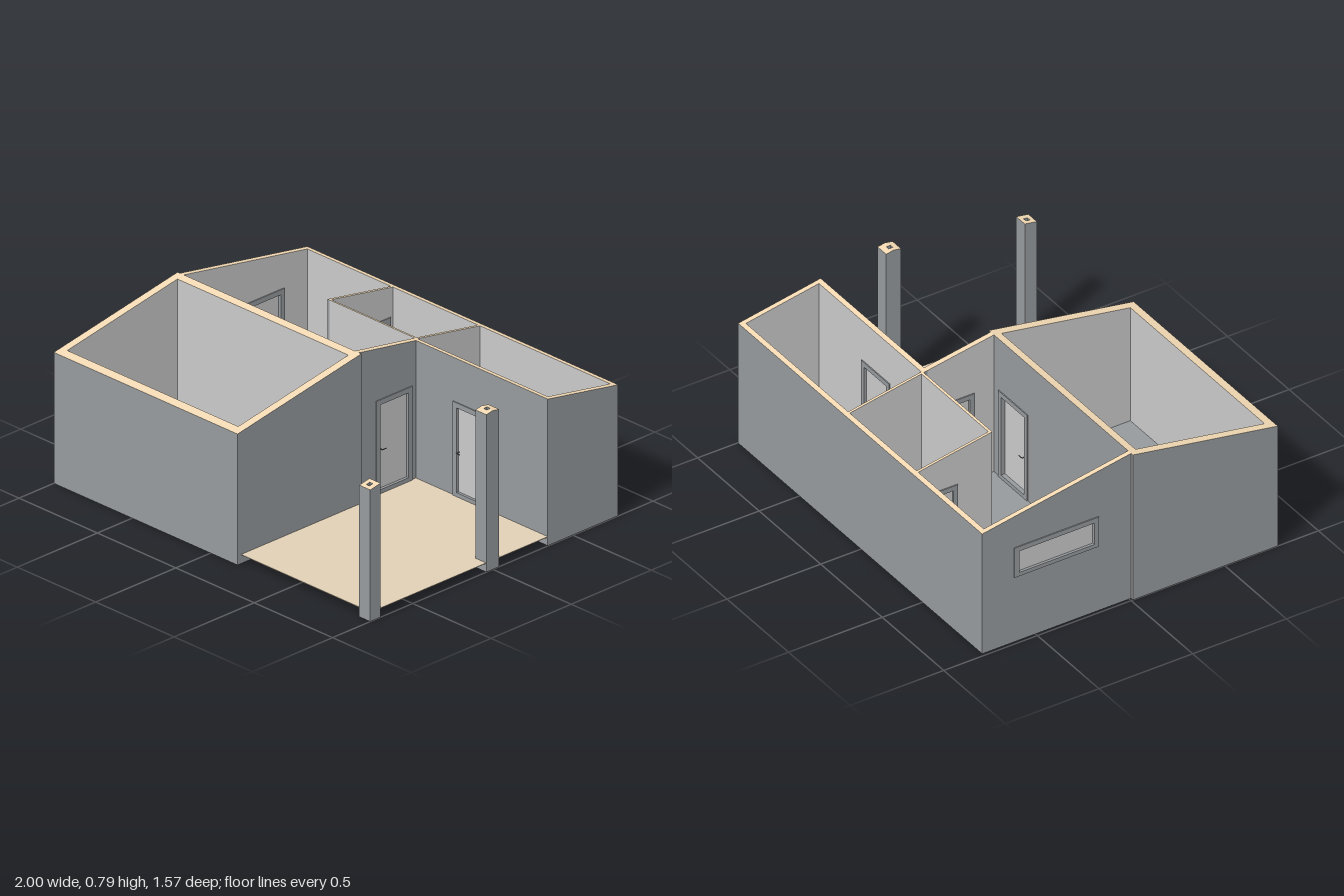
import * as THREE from 'three';

const mat = (color) => new THREE.MeshStandardMaterial({ color });
const inside = mat(0xcccccc);
const outside = mat(0x989c9f);
const tan = mat(0xf4dab4);
const floorGrey = mat(0x969b9e);
const porchTan = mat(0xe2d1b8);
const dark = mat(0x77797b);

const FLOOR = 0.045;
const DOOR = [FLOOR, 0.51];
const roof = (z) => 0.787 - 0.176 * Math.abs(z);
const polygon = (pts, Type = THREE.Shape) => new Type(pts.map(([a, b]) => new THREE.Vector2(a, b)));
const rect = (a0, a1, b0, b1, Type) => polygon([[a0, b0], [a1, b0], [a1, b1], [a0, b1]], Type);

// Upright slab: drawn along a (x or z) and y, with thickness t0..t1 on the other axis
function slab(axis, shape, t0, t1) {
  const g = new THREE.ExtrudeGeometry(shape, { depth: t1 - t0, bevelEnabled: false });
  if (axis === 'z') g.rotateY(-Math.PI / 2).translate(t1, 0, 0);
  else g.translate(0, 0, t0);
  return g;
}

// Raise the top vertices to the roof slope
function fitRoof(g) {
  const p = g.attributes.position;
  for (let i = 0; i < p.count; i++) if (p.getY(i) > 0.59) p.setY(i, roof(p.getZ(i)));
  g.computeVertexNormals();
  return g;
}

export function createModel() {
  const model = new THREE.Group();
  const add = (name, geometry, material, parent = model) => {
    const m = new THREE.Mesh(geometry, material);
    m.name = name;
    parent.add(m);
  };

  // Wall with optional opening; lo and hi are the materials of the faces at t0 and t1
  function wall(name, axis, a0, a1, t0, t1, lo, hi, { bottom = 0, hole } = {}) {
    const s = rect(a0, a1, bottom, 0.6);
    if (hole) s.holes.push(rect(hole[0] + 0.01, hole[1] - 0.01, hole[2] + 0.01, hole[3] - 0.01, THREE.Path));
    const g = fitRoof(slab(axis, s, t0, t1));
    const n = g.attributes.normal;
    g.clearGroups();
    for (let i = 0; i < n.count; i += 3) {
      const across = axis === 'x' ? n.getZ(i) : n.getX(i);
      const side = across < -0.5 ? 0 : across > 0.5 ? 1 : Math.abs(n.getY(i)) > 0.5 ? 2 : 3;
      g.addGroup(i, 3, side);
    }
    add(name, g, [lo, hi, tan, outside]);
  }

  // Frame and recessed panel filling an opening; handleAt adds a lever on both sides
  function fitting(name, axis, hole, t0, t1, handleAt, dir) {
    const group = new THREE.Group();
    group.name = name;
    const [a0, a1, y0, y1] = hole;
    const b = 0.025;
    const inner = [a0 + b, a1 - b, y0 + 0.02, y1 - b];
    const s = rect(a0, a1, y0, y1);
    s.holes.push(rect(...inner, THREE.Path));
    add('frame', slab(axis, s, t0 - 0.005, t1 + 0.005), outside, group);
    const mid = (t0 + t1) / 2;
    add('panel', slab(axis, rect(...inner), mid - 0.004, mid + 0.004), inside, group);
    if (handleAt !== undefined) {
      const h = handleAt;
      const bar = [h, h + dir * 0.025].sort((p, q) => p - q);
      add('spindle', slab(axis, rect(h - 0.002, h + 0.002, 0.261, 0.265), t0 - 0.011, t1 + 0.011), dark, group);
      for (const t of [t0 - 0.013, t1 + 0.01])
        add('lever', slab(axis, rect(...bar, 0.261, 0.265), t, t + 0.003), dark, group);
    }
    model.add(group);
  }

  // Openings: along-wall range, then height range
  const frontRoomDoor = [-0.145, 0.09, ...DOOR];
  const porchDoor = [0.395, 0.625, ...DOOR];
  const hallDoor = [-0.32, -0.095, ...DOOR];
  const roomDoor = [-0.745, -0.55, ...DOOR];
  const sideWindow = [-0.615, -0.165, 0.35, 0.51];

  // Front room
  wall('frontRoomFrontWall', 'x', -1, 0.172, 0.738, 0.783, inside, outside);
  wall('frontRoomBackWall', 'x', -1, 0.172, 0.01, 0.05, outside, inside, { hole: frontRoomDoor });
  wall('frontRoomRightWall', 'z', 0.05, 0.738, -1, -0.96, outside, inside);
  wall('frontRoomLeftWall', 'z', 0.05, 0.738, 0.13, 0.172, inside, outside);

  // Rear wing
  wall('backWall', 'x', -0.985, 0.998, -0.785, -0.76, outside, inside);
  wall('rearRightWall', 'z', -0.76, 0.01, -0.985, -0.96, outside, inside, { hole: sideWindow });
  wall('rearLeftWall', 'z', -0.76, -0.345, 0.973, 0.998, inside, outside);
  wall('porchWall', 'x', 0.13, 0.973, -0.37, -0.345, inside, outside, { hole: porchDoor });
  wall('hallWall', 'z', -0.345, 0.01, 0.13, 0.157, inside, outside, { hole: hallDoor });

  // Thin partitions
  const bottom = FLOOR;
  wall('partition', 'z', -0.76, -0.37, 0.129, 0.142, inside, inside, { bottom });
  wall('partition', 'z', -0.76, -0.365, -0.427, -0.414, inside, inside, { bottom, hole: roomDoor });
  wall('partition', 'x', -0.414, 0.13, -0.377, -0.365, inside, inside, { bottom });

  // Doors and window
  fitting('frontRoomDoor', 'x', frontRoomDoor, 0.01, 0.05, -0.115, 1);
  fitting('porchDoor', 'x', porchDoor, -0.37, -0.345, 0.425, 1);
  fitting('hallDoor', 'z', hallDoor, 0.13, 0.157, -0.125, -1);
  fitting('roomDoor', 'z', roomDoor, -0.427, -0.414, -0.575, -1);
  fitting('sideWindow', 'z', sideWindow, -0.985, -0.96);

  // Floor slabs; the hall slab leaves a groove underneath along the front room
  const floor = (name, x0, x1, z0, z1, y0 = 0.002) =>
    add(name, new THREE.BoxGeometry(x1 - x0, FLOOR - y0, z1 - z0)
      .translate((x0 + x1) / 2, (FLOOR + y0) / 2, (z0 + z1) / 2), floorGrey);
  floor('frontRoomFloor', -0.96, 0.13, 0.05, 0.738);
  floor('hallFloor', -0.96, 0.13, -0.76, -0.04);
  floor('hallFloorEdge', -0.96, 0.13, -0.04, 0.01, FLOOR - 0.004);
  floor('backRoomFloor', 0.13, 0.973, -0.76, -0.37);

  // Thin porch floor, notched around the columns (drawn in x and -z)
  const porch = polygon([
    [0.157, 0.345], [0.157, -0.01], [0.172, -0.01], [0.172, -0.76], [0.93, -0.76], [0.93, -0.7],
    [0.998, -0.7], [0.998, -0.04], [0.93, -0.04], [0.93, 0.04], [0.998, 0.04], [0.998, 0.345],
  ]);
  add('porchFloor', new THREE.ExtrudeGeometry(porch, { depth: 0.003, bevelEnabled: false })
    .rotateX(-Math.PI / 2).translate(0, FLOOR - 0.003, 0), porchTan);

  // Hollow porch columns with tops cut to the roof slope
  for (const [z0, z1] of [[-0.04, 0.04], [0.7, 0.765]]) {
    const mid = (z0 + z1) / 2;
    const s = polygon([[0.93, -z0], [1, -z0], [1, -mid], [1, -z1], [0.93, -z1], [0.93, -mid]]);
    s.holes.push(rect(0.953, 0.973, -mid - 0.011, -mid + 0.011, THREE.Path));
    const g = new THREE.ExtrudeGeometry(s, { depth: 0.6, bevelEnabled: false }).rotateX(-Math.PI / 2);
    add('porchColumn', fitRoof(g), [tan, outside]);
  }
  return model;
}
